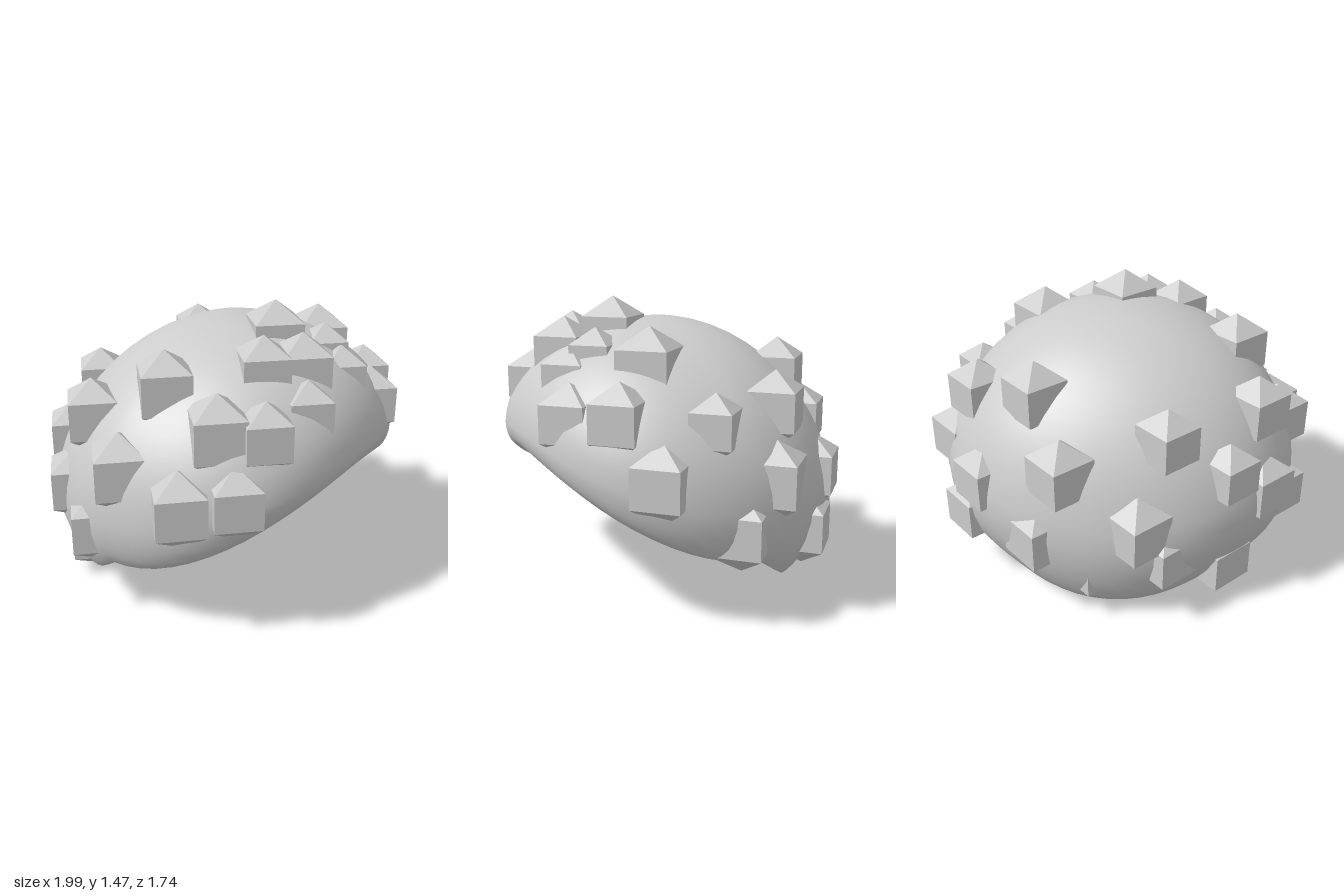
import * as THREE from 'three';
import { mergeVertices } from 'three/addons/utils/BufferGeometryUtils.js';

const stone = new THREE.MeshStandardMaterial({ color: 0xcccccc });
stone.name = 'pale grey';

// One cross-section of the hollow shell at angle t around y:
// crown -> widest line -> rolled rim -> inner lip -> inner crown
function shellSection(t) {
  const s = Math.sin(t), c = Math.cos(t);
  const f = Math.max(c, 0), b = Math.max(-c, 0), f2 = f * f;
  const frontCorner = (2 * s * f) ** 2, backCorner = (2 * s * b) ** 2;
  const top = 1.36, shift = 0.08;
  const full = 1 + 0.04 * frontCorner;       // fuller front corners
  const tuck = full - 0.14 * backCorner;     // rim tucked in at the back corners
  const xE = 0.93 * full, zE = (c > 0 ? 0.87 : 0.78) * full;
  const xR = 0.85 * tuck, zR = (c > 0 ? 0.8 : 0.62) * tuck;
  const yE = 0.55 + 0.29 * f2 - 0.1 * b + 0.05 * backCorner;
  const yR = 0.31 + 0.42 * f2 - 0.27 * Math.sin(b * Math.PI / 2);
  const lip = 0.12 - 0.06 * f + 0.02 * b + 0.03 * backCorner;
  const yC = yR + 0.09 - 0.02 * f + 0.07 * b + 0.015 * backCorner;
  const crest = 0.05 - 0.02 * f + 0.07 * b + 0.01 * backCorner;
  const points = [];
  // k blends plan position from rim line (0) to widest line (1); inset moves inward
  const belt = (k, inset, y) => points.push([
    s * (xR + (xE - xR) * k - inset), y, c * (zR + (zE - zR) * k - inset)]);
  const dome = (phi, inset) => {
    const r = Math.sin(phi) * (1 - 0.06 * f * Math.sin(2 * phi));
    points.push([s * r * (xE - inset), yE + (top - inset - yE) * Math.cos(phi),
      c * r * (zE - inset) + shift * Math.cos(phi)]);
  };
  for (let i = 0; i <= 14; i++) dome(i / 14 * Math.PI / 2, 0);
  for (let i = 1; i <= 6; i++) {
    const a = i / 6 * Math.PI / 2;
    belt(Math.cos(a) ** (1.3 - 0.3 * f + 0.6 * backCorner), 0, yE - (yE - yR) * Math.sin(a));
  }
  for (let i = 1; i <= 5; i++) {
    const a = i / 5 * Math.PI / 2;
    belt(0, lip * Math.sin(a), yC - (yC - yR) * Math.cos(a));
  }
  belt(0, lip * 0.85, yC + crest * 0.7);
  belt(0, lip * 0.5, yC + crest);
  belt(0.45, 0.035, yC + crest * 1.05);
  for (let i = 14; i >= 0; i--) dome(i / 14 * Math.PI / 2, 0.035);
  return points;
}

function shellGeometry() {
  const N = 64, positions = [], index = [];
  let M = 0;
  for (let i = 0; i < N; i++) {
    const section = shellSection(i / N * Math.PI * 2);
    M = section.length;
    section.forEach(p => positions.push(...p));
  }
  for (let i = 0; i < N; i++) {
    for (let j = 0; j < M - 1; j++) {
      const a = i * M + j, d = ((i + 1) % N) * M + j;
      if (j < M - 2) index.push(a, a + 1, d + 1);
      if (j > 0) index.push(a, d + 1, d);
    }
  }
  let g = new THREE.BufferGeometry();
  g.setAttribute('position', new THREE.Float32BufferAttribute(positions, 3));
  g.setIndex(index);
  g = mergeVertices(g, 1e-5);
  g.computeVertexNormals();
  return g;
}

// Four-sided studs: [x, y, z, radius]
const frontStuds = [
  [0, 1.275, 0.34, 0.195], [0.435, 1.155, 0.34, 0.205], [-0.285, 1.2, 0.455, 0.18],
  [0.19, 1.18, 0.51, 0.16], [-0.11, 1.18, 0.56, 0.19], [0.15, 1.09, 0.63, 0.165],
  [-0.24, 1.03, 0.67, 0.165], [0.345, 0.93, 0.7, 0.18], [-0.5, 0.99, 0.61, 0.17],
  [-0.615, 1.0, 0.43, 0.195], [0.57, 0.96, 0.55, 0.18], [-0.66, 0.72, 0.56, 0.18],
];
const sideStuds = [
  [-0.59, 1.14, 0.12, 0.19], [0.76, 0.93, 0.17, 0.16], [0.75, 0.7, 0.425, 0.19],
  [-0.81, 0.69, 0.36, 0.19], [-0.82, 0.79, 0.03, 0.195], [0.825, 0.67, -0.107, 0.2],
  [0.83, 0.45, 0.067, 0.19], [-0.82, 0.46, -0.14, 0.19], [0.7, 0.975, -0.18, 0.185],
  [-0.7, 0.97, -0.235, 0.185], [-0.74, 0.6, -0.34, 0.19], [0.72, 0.38, -0.345, 0.19],
];
const backStuds = [
  [0.37, 1.08, -0.4, 0.185], [-0.275, 0.96, -0.57, 0.175], [0.22, 0.8, -0.65, 0.19],
  [-0.57, 0.76, -0.51, 0.17], [0.63, 0.63, -0.45, 0.19], [-0.15, 0.545, -0.71, 0.19],
  [0.34, 0.43, -0.625, 0.2], [-0.28, 0.36, -0.63, 0.19], [0.085, 0.25, -0.6, 0.18],
  [-0.545, 0.197, -0.42, 0.195],
];

export function createModel() {
  const model = new THREE.Group();
  model.name = 'studdedShell';

  const shell = new THREE.Mesh(shellGeometry(), stone);
  shell.name = 'shell';
  model.add(shell);

  // A coarse sphere gives a square prism with pyramid ends; split for flat faces
  const studGeometry = new THREE.SphereGeometry(1, 4, 3).toNonIndexed();
  studGeometry.computeVertexNormals();
  for (const [name, list] of Object.entries({ frontStuds, sideStuds, backStuds })) {
    const group = new THREE.Group();
    group.name = name;
    for (const [x, y, z, r] of list) {
      const stud = new THREE.Mesh(studGeometry, stone);
      stud.name = 'stud';
      stud.position.set(x, y, z);
      stud.scale.setScalar(r);
      group.add(stud);
    }
    model.add(group);
  }
  return model;
}
